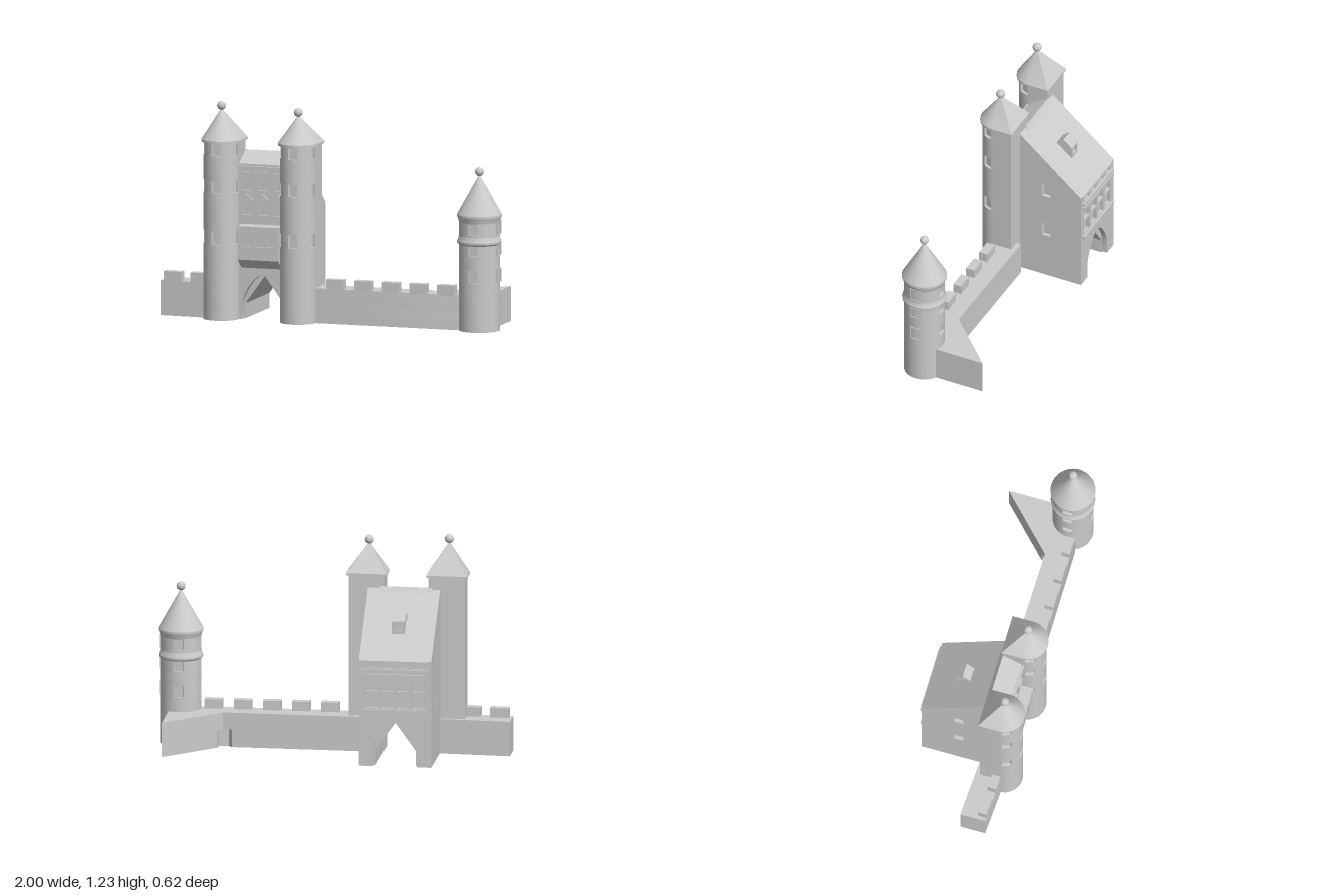
import * as THREE from 'three';
import { toCreasedNormals, mergeGeometries } from 'three/addons/utils/BufferGeometryUtils.js';

const material = new THREE.MeshStandardMaterial({ color: 0xcccccc });
const V = (p) => new THREE.Vector2(p[0], p[1]);

function mesh(parent, name, geometry, x = 0, y = 0, z = 0) {
  const m = new THREE.Mesh(geometry, material);
  m.name = name;
  m.position.set(x, y, z);
  parent.add(m);
  return m;
}

function box(parent, name, x0, x1, y0, y1, z0, z1) {
  return mesh(parent, name, new THREE.BoxGeometry(x1 - x0, y1 - y0, z1 - z0),
    (x0 + x1) / 2, (y0 + y1) / 2, (z0 + z1) / 2);
}

function extrude(points, depth, holes = []) {
  const shape = new THREE.Shape(points.map(V));
  shape.holes = holes.map((h) => new THREE.Path(h.map(V)));
  const g = new THREE.ExtrudeGeometry(shape, { depth, bevelEnabled: false });
  return toCreasedNormals(g, 0.5);
}

// Outline given as [x, z], raised from y0 to y1
const planSolid = (pts, y0, y1) =>
  extrude(pts.map(([x, z]) => [x, -z]), y1 - y0).rotateX(-Math.PI / 2).translate(0, y0, 0);
// Outline given as [z, y], spanning x0 to x1
const flip = (pts) => pts.map(([z, y]) => [-z, y]);
const sideSolid = (pts, x0, x1, holes = []) =>
  extrude(flip(pts), x1 - x0, holes.map(flip)).rotateY(Math.PI / 2).translate(x0, 0, 0);
// Outline given as [x, y], spanning z0 to z1
const frontSolid = (pts, z0, z1, holes = []) => extrude(pts, z1 - z0, holes).translate(0, 0, z0);

const rect = (cx, y0, y1, w) =>
  [[cx - w / 2, y0], [cx + w / 2, y0], [cx + w / 2, y1], [cx - w / 2, y1]];

// Tower plan: full circle, or half circle with a square back; notches are window recesses
function towerPlan(r, back, notches = []) {
  const pts = [];
  const end = back ? Math.PI : Math.PI * 2;
  const n = back ? 20 : 40;
  const hw = 0.028 / r;
  const at = (a, q) => [Math.cos(a) * q, Math.sin(a) * q];
  const samples = [];
  for (let i = 0; i < (back ? n + 1 : n); i++) {
    const a = (end * i) / n;
    if (notches.every((c) => Math.abs(a - c) > hw + 0.02)) samples.push([a, r]);
  }
  for (const c of notches) {
    samples.push([c - hw, r], [c - hw + 1e-4, r - 0.014], [c + hw - 1e-4, r - 0.014], [c + hw, r]);
  }
  samples.sort((p, q) => p[0] - q[0]).forEach(([a, q]) => pts.push(at(a, q)));
  if (back) pts.push([-r, -back], [r, -back]);
  return pts;
}

// Pointed roof rising from any plan outline
function pointedRoof(plan, y0, y1) {
  const v = [];
  plan.forEach((p, i) => {
    const q = plan[(i + 1) % plan.length];
    v.push(p[0], y0, p[1], 0, y1, 0, q[0], y0, q[1]);
  });
  const g = new THREE.BufferGeometry();
  g.setAttribute('position', new THREE.Float32BufferAttribute(v, 3));
  return toCreasedNormals(g, 0.5);
}

function tower(root, name, o) {
  const t = new THREE.Group();
  t.name = name;
  t.position.set(o.x, 0, o.z);
  root.add(t);
  const solids = [];
  let y = 0;
  for (const [w0, w1] of o.windows) {
    solids.push(planSolid(towerPlan(o.r, o.back), y, w0));
    solids.push(planSolid(towerPlan(o.r, o.back, o.angles), w0, w1));
    y = w1;
  }
  solids.push(planSolid(towerPlan(o.r, o.back), y, o.eave));
  mesh(t, 'towerWall', mergeGeometries(solids));
  const roofPlan = towerPlan(o.roofR, o.back && o.back + 0.008);
  mesh(t, 'eave', planSolid(roofPlan, o.eave - 0.006, o.eave + 0.006));
  mesh(t, 'pointedRoof', pointedRoof(roofPlan, o.eave + 0.006, o.peak));
  mesh(t, 'roofBall', new THREE.SphereGeometry(0.025, 20, 14), 0, o.peak + 0.015, 0);
  return t;
}

function gatehouse(root) {
  const g = new THREE.Group();
  g.name = 'gatehouse';
  root.add(g);
  const cx = -0.397;
  const L = -0.602, R = -0.192, T = 0.02;

  // Core with the sloping roof, above the passage
  mesh(g, 'upperCore', sideSolid([[-0.28, 0.27], [-0.28, 0.59], [-0.305, 0.59], [-0.305, 0.605],
    [0.08, 0.935], [0.08, 0.27]], L + T, R - T));
  mesh(g, 'frontRoof', sideSolid([[0.06, 0.27], [0.06, 0.918], [0.08, 0.945], [0.19, 0.88],
    [0.19, 0.865], [0.17, 0.865], [0.17, 0.27]], -0.56, -0.26));
  const sideWall = [[-0.3, 0], [-0.3, 0.608], [0.08, 0.935], [0.08, 0]];
  const sideWindows = [rect(-0.085, 0.275, 0.36, 0.053), rect(-0.085, 0.55, 0.635, 0.053)];
  mesh(g, 'sideWall', sideSolid(sideWall, L, L + T, sideWindows));
  mesh(g, 'sideWall', sideSolid(sideWall, R - T, R, sideWindows));

  // Passage: straight pointed vault between wider curved arches
  const block = (top, x0, x1, opening) =>
    [[x0, 0], ...opening, [x1, 0], [x1, top], [x0, top]];
  const vault = [[-0.115, 0], [-0.115, 0.085], [0, 0.245], [0.115, 0.085], [0.115, 0]]
    .map(([x, y]) => [cx + x, y]);
  const arch = [[cx - 0.125, 0]];
  for (let i = 0; i <= 16; i++) {
    const s = i / 8 - 1;
    arch.push([cx + s * 0.125, 0.09 + 0.165 * Math.pow(1 - Math.abs(s) ** 1.7, 0.8)]);
  }
  arch.push([cx + 0.125, 0]);
  mesh(g, 'passage', frontSolid(block(0.27, L + T, R - T, vault), -0.27, 0.15));

  // Back wall with a grid of windows and a frieze
  const backHoles = [];
  for (let i = 0; i < 4; i++) {
    const x = cx + (i - 1.5) * 0.088;
    backHoles.push(rect(x, 0.335, 0.415, 0.066), rect(x, 0.43, 0.505, 0.066),
      rect(x, 0.562, 0.585, 0.055));
  }
  mesh(g, 'backWall', frontSolid(block(0.6, L + T, R - T, arch), -0.3, -0.27, backHoles));
  for (const [y0, y1] of [[0.31, 0.328], [0.512, 0.53], [0.54, 0.557]]) {
    box(g, 'backLedge', L + 0.02, R - 0.02, y0, y1, -0.314, -0.29);
  }

  // Front wall between the towers
  const holes = [];
  for (let i = -1; i <= 1; i++) {
    const x = cx + i * 0.094;
    holes.push(rect(x, 0.73, 0.815, 0.056), rect(x, 0.59, 0.68, 0.056));
    mesh(g, 'windowPediment', frontSolid([[x - 0.036, 0.68], [x + 0.036, 0.68], [x, 0.712]], 0.18, 0.2));
  }
  mesh(g, 'frontWall', frontSolid(block(0.865, -0.56, -0.26, arch), 0.15, 0.188, holes));
  box(g, 'cornice', -0.55, -0.27, 0.848, 0.868, 0.17, 0.205);
  box(g, 'cornice', -0.55, -0.27, 0.822, 0.835, 0.17, 0.198);

  // Projecting bay over the gate
  mesh(g, 'bay', sideSolid([[0.18, 0.285], [0.25, 0.345], [0.25, 0.4], [0.235, 0.4], [0.235, 0.5],
    [0.25, 0.5], [0.25, 0.535], [0.18, 0.54]], -0.523, -0.285));
  mesh(g, 'bayFront', frontSolid(rect(-0.404, 0.4, 0.5, 0.238), 0.235, 0.25,
    [-1, 0, 1].map((i) => rect(-0.4 + i * 0.073, 0.42, 0.485, 0.055))));
  box(g, 'bayLedge', -0.523, -0.285, 0.505, 0.535, 0.24, 0.256);

  // Dormer on the rear slope
  mesh(g, 'dormerRoof', sideSolid([[-0.06, 0.805], [-0.11, 0.847], [-0.163, 0.802], [-0.11, 0.79]],
    cx - 0.04, cx + 0.04));
  mesh(g, 'dormerBody', sideSolid([[-0.08, 0.74], [-0.08, 0.8], [-0.11, 0.835], [-0.145, 0.802],
    [-0.145, 0.725]], cx - 0.036, cx + 0.036));
  mesh(g, 'dormerWindow', frontSolid(rect(cx, 0.73, 0.804, 0.072), -0.16, -0.145,
    [rect(cx, 0.75, 0.792, 0.044)]));
}

export function createModel() {
  const root = new THREE.Group();
  root.name = 'castleGate';

  // Twin gate towers with square backs
  const gate = {
    r: 0.102, roofR: 0.114, back: 0.115, eave: 1.008,
    windows: [[0.43, 0.505], [0.72, 0.79], [0.93, 0.995]],
    angles: [0.38, Math.PI / 2, Math.PI - 0.38],
  };
  tower(root, 'rightGateTower', { ...gate, x: -0.638, z: 0.193, peak: 1.188 });
  tower(root, 'leftGateTower', { ...gate, x: -0.185, z: 0.197, peak: 1.17 });
  gatehouse(root);

  // Round corner tower
  const corner = tower(root, 'cornerTower', {
    x: 0.869, z: 0.152, r: 0.115, roofR: 0.126, back: 0, eave: 0.65, peak: 0.88,
    windows: [[0.28, 0.35], [0.43, 0.485], [0.55, 0.62]],
    angles: [0.5, 1.5, 2.5, 3.5].map((k) => (k - 0.5) * Math.PI || 1e-9).map((_, k) => (k * Math.PI) / 2 + (k ? 0 : Math.PI * 2))
      .filter((a) => a < 6),
  });
  // The window column facing left is framed on the wall
  for (const y of [0.315, 0.458, 0.585]) {
    const h = y === 0.458 ? 0.055 : 0.07;
    const frame = frontSolid(rect(0, -h / 2 - 0.004, h / 2 + 0.004, 0.066), 0, 0.012,
      [rect(0, -h / 2, h / 2, 0.056)]).rotateY(Math.PI / 2);
    mesh(corner, 'windowFrame', frame, 0.107, y, 0);
  }
  const ring = (pts) => new THREE.LatheGeometry(pts.map(V), 40);
  mesh(corner, 'stringCourse', toCreasedNormals(ring([[0.113, 0.485], [0.124, 0.495], [0.125, 0.507], [0.118, 0.52], [0.113, 0.545]]), 0.5));
  mesh(corner, 'flare', toCreasedNormals(ring([[0.114, 0.61], [0.119, 0.63], [0.125, 0.648]]), 0.5));

  // Curtain walls, with a niche under the rear corner
  mesh(root, 'rightCurtainWall', planSolid([[-1, 0.04], [-0.6, 0.06], [-0.65, 0.205], [-1, 0.185]], 0, 0.197));
  const outer = [[0.925, -0.238], [0.925, 0.06], [0.87, 0.15], [0.74, 0.2], [-0.15, 0.2], [-0.15, 0.053]];
  mesh(root, 'leftCurtainWall', planSolid([[0.62, 0.06], ...outer], 0.1, 0.197));
  mesh(root, 'leftCurtainBase',
    planSolid([[0.57, 0.06], [0.59, 0.085], [0.645, 0.075], [0.65, 0.031], ...outer], 0, 0.1));

  // Merlons along the front edge
  for (let i = 0; i < 5; i++) {
    const x = -0.02 + i * 0.164;
    box(root, 'merlon', x, x + 0.1, 0.19, 0.25, 0.15, 0.2);
  }
  for (const x of [-0.98, -0.82]) {
    const z = 0.137 + (x + 1) * 0.055;
    box(root, 'merlon', x, x + 0.105, 0.19, 0.25, z, z + 0.05).rotation.y = -0.055;
  }
  return root;
}
